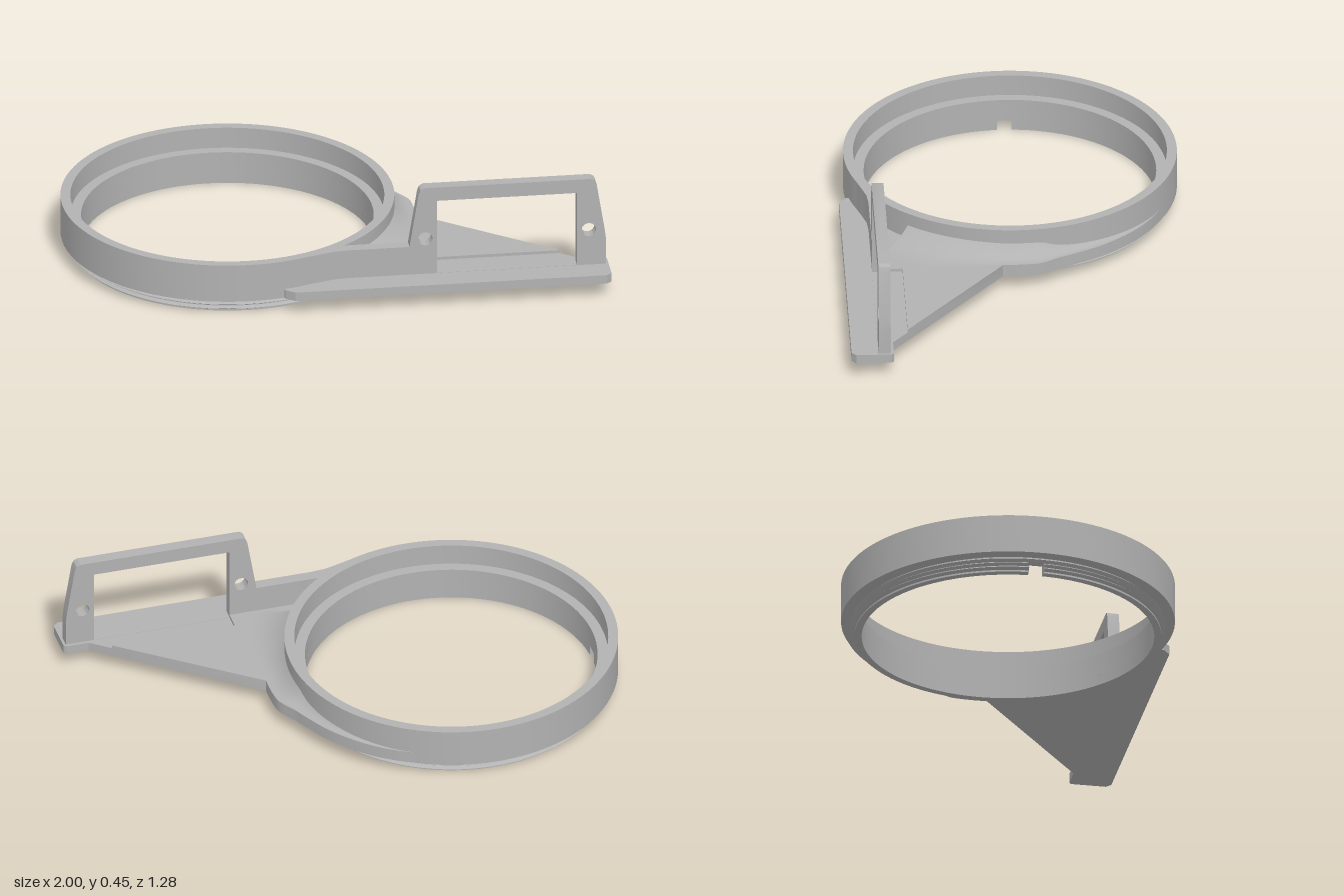
import * as THREE from 'three';
import { toCreasedNormals } from 'three/addons/utils/BufferGeometryUtils.js';

const CX = -0.373, CZ = -0.0125, R = 0.6275;
const vec = (pts) => pts.map(([x, y]) => new THREE.Vector2(x, y));

export function createModel() {
  const model = new THREE.Group();
  const gray = new THREE.MeshStandardMaterial({ color: 0xb2b2b2 });
  gray.name = 'plain gray';
  gray.side = THREE.DoubleSide;

  const add = (name, geometry, x = 0, z = 0) => {
    const mesh = new THREE.Mesh(toCreasedNormals(geometry, 0.5), gray);
    mesh.name = name;
    mesh.position.set(x, 0, z);
    model.add(mesh);
  };

  // Flat slab from an outline in x, z, between two heights
  const slab = (name, pts, y0, y1) => {
    const shape = new THREE.Shape(vec(pts.map(([x, z]) => [x, -z])));
    const g = new THREE.ExtrudeGeometry(shape, { depth: y1 - y0, bevelEnabled: false });
    add(name, g.rotateX(-Math.PI / 2).translate(0, y0, 0));
  };

  // Main ring with an inner ledge
  add('ring', new THREE.LatheGeometry(vec([
    [0.55, 0.04], [0.578, 0.04], [0.592, 0.048], [0.578, 0.056], [0.578, 0.06],
    [R, 0.06], [R, 0.21], [0.59, 0.21], [0.59, 0.127], [0.55, 0.127], [0.55, 0.04],
  ]), 128), CX, CZ);

  // Threaded collar below, with a small key notch on the right side
  const collar = [[0.55, 0], [0.577, 0], [0.577, 0.007], [0.591, 0.014], [0.578, 0.021],
    [0.578, 0.024], [0.591, 0.031], [0.578, 0.038], [0.578, 0.04], [0.55, 0.04]];
  const start = Math.PI * 1.5 + 0.05, sweep = Math.PI * 2 - 0.1;
  add('threadedCollar', new THREE.LatheGeometry(vec([...collar, collar[0]]), 128, start, sweep), CX, CZ);
  for (const phi of [start, start + sweep]) {
    const cap = new THREE.ShapeGeometry(new THREE.Shape(vec(collar)));
    add('notchSide', cap.rotateY(phi - Math.PI / 2), CX, CZ);
  }

  // Concave flare blending the ring into the bracket; its width changes with angle
  const widths = [[-62, 0], [-36, 0.02], [-21, 0.035], [-14, 0.048], [-7, 0.08], [4, 0.083],
    [14, 0.11], [25, 0.15], [34, 0.165], [40, 0.165]];
  const widthAt = (deg) => {
    for (let i = 1; i < widths.length; i++) {
      const [a, wa] = widths[i - 1], [b, wb] = widths[i];
      if (deg <= b) return wa + (wb - wa) * Math.max(0, (deg - a) / (b - a));
    }
    return 0.165;
  };
  const section = [[0, 0.0605], [1, 0.0605], [1, 0.107]];
  for (let i = 1; i <= 8; i++) section.push([1 - i / 8, 0.107 + 0.06 * (i / 8) ** 2.2]);
  const rad = Math.PI / 180;
  const flare = new THREE.LatheGeometry(vec(section), 60, 50 * rad, 102 * rad);
  const p = flare.attributes.position;
  for (let i = 0; i < p.count; i++) {
    const j = Math.floor(i / section.length), [u, y] = section[i % section.length];
    const phi = (50 + 102 * j / 60) * rad;
    const w = widthAt(90 - phi / rad), r = R - 0.01 + u * (w + 0.01);
    const h = y > 0.107 ? 0.107 + (y - 0.107) * Math.min(1, w / 0.07) : y;
    p.setXYZ(i, r * Math.sin(phi), h, r * Math.cos(phi));
  }
  add('flare', flare, CX, CZ);

  // Raised triangular gusset following the ring
  const arc = [];
  for (let d = 53; d >= 3; d -= 5) arc.push([CX + 0.615 * Math.cos(d * rad), CZ + 0.615 * Math.sin(d * rad)]);
  slab('gusset', [...arc, [0.335, 0.04], [0.83, 0.42], [0.35, 0.42], [0.35, 0.49], [0, 0.49]], 0.06, 0.107);

  // Lower foot plate along the front, including the shallow step behind the frame
  slab('footPlate', [[-0.24, 0.59], [-0.235, 0.61], [-0.2, 0.637], [0.98, 0.637], [1, 0.62], [1, 0.485],
    [0.99, 0.478], [0.905, 0.478], [0.83, 0.42], [0.35, 0.42], [0.35, 0.49], [-0.02, 0.49],
    [-0.1, 0.54], [-0.2, 0.58]], 0.06, 0.095);

  // Web wall joining ring and frame
  slab('webWall', [[-0.23, 0.592], [-0.16, 0.577], [-0.09, 0.555], [-0.04, 0.54], [0.02, 0.535],
    [0.27, 0.535], [0.27, 0.49], [-0.01, 0.49], [-0.1, 0.535], [-0.2, 0.575]], 0.06, 0.21);

  // Upright frame with a window and two screw holes
  const frame = new THREE.Shape(vec([[0.245, 0.09], [0.245, 0.21], [0.28, 0.425], [0.287, 0.442], [0.302, 0.45],
    [0.935, 0.45], [0.948, 0.442], [0.955, 0.425], [0.985, 0.24], [0.99, 0.2], [0.99, 0.09]]));
  frame.holes.push(new THREE.Path(vec([[0.35, 0.096], [0.88, 0.096], [0.88, 0.395], [0.35, 0.395]])));
  for (const x of [0.305, 0.925]) {
    frame.holes.push(new THREE.Path().absarc(x, 0.24, 0.027, 0, Math.PI * 2));
  }
  const upright = new THREE.ExtrudeGeometry(frame, { depth: 0.045, bevelEnabled: false, curveSegments: 24 });
  add('uprightFrame', upright.translate(0, 0, 0.49));

  return model;
}
